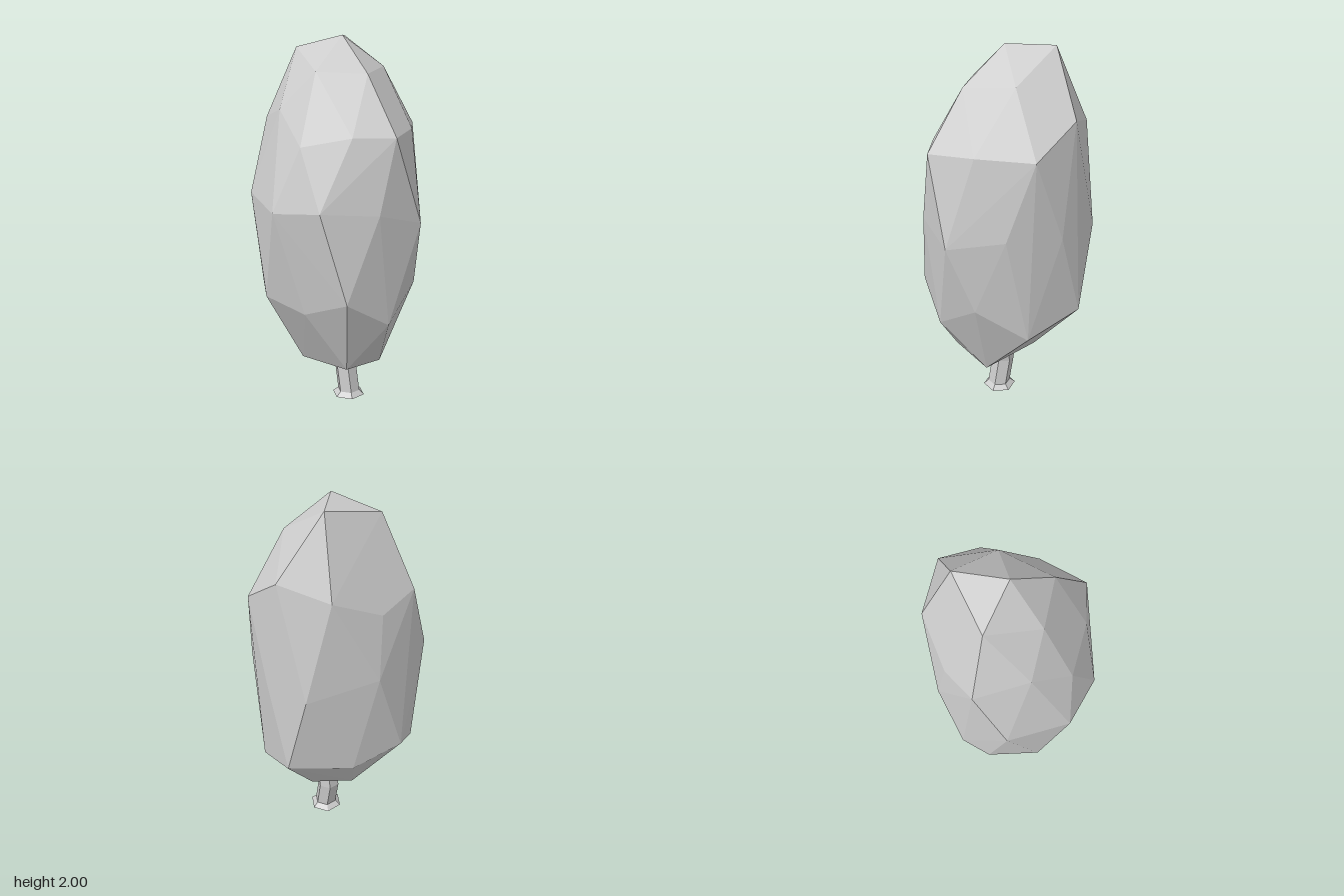
import * as THREE from 'three';
import { ConvexGeometry } from 'three/addons/geometries/ConvexGeometry.js';

const material = new THREE.MeshStandardMaterial({ color: 0xcccccc, flatShading: true });

// Faceted crown: rings of corner points [x, y, z] wrapped in a convex skin
const crownRings = {
  tip: [[-0.01, 2, -0.025], [-0.19, 2, -0.205], [-0.24, 1.94, 0.095]],
  shoulder: [[0.215, 1.81, 0.01], [0.02, 1.82, 0.185], [0.08, 1.84, -0.24]],
  upper: [[-0.13, 1.69, -0.44], [-0.34, 1.62, -0.28], [-0.385, 1.57, 0.19], [-0.13, 1.63, 0.3],
    [0.085, 1.46, 0.345], [0.29, 1.51, 0.185], [0.425, 1.51, 0.015], [0.31, 1.53, -0.22],
    [0.11, 1.53, -0.445], [-0.4, 1.5, -0.02]],
  middle: [[0.445, 1.06, -0.155], [0.23, 1.12, -0.37], [-0.05, 1.1, -0.465], [-0.3, 1.1, -0.41],
    [-0.445, 1.17, -0.065], [-0.315, 1.18, 0.36], [0.005, 1.13, 0.465], [0.245, 1.15, 0.36],
    [0.41, 1.13, 0.11]],
  lower: [[0.335, 0.68, 0.26], [0.39, 0.53, 0.015], [0.33, 0.7, -0.24], [0.11, 0.53, -0.405],
    [-0.19, 0.64, -0.455], [-0.38, 0.62, -0.17], [-0.445, 0.69, 0.105], [-0.37, 0.64, 0.25],
    [-0.14, 0.645, 0.405], [0.1, 0.59, 0.34]],
  base: [[0.205, 0.255, 0.14], [-0.1, 0.25, 0.19], [0.185, 0.225, -0.13], [-0.23, 0.36, -0.05],
    [-0.08, 0.34, -0.22], [-0.02, 0.2, 0.03], [0.07, 0.2, -0.04]],
};

function createCrown() {
  const points = Object.values(crownRings).flat().map((p) => new THREE.Vector3(...p));
  const crown = new THREE.Mesh(new ConvexGeometry(points), material);
  crown.name = 'crown';
  return crown;
}

// Bent six-sided trunk with a flared foot; sections are [y, centre x, radius], top first
function createTrunk() {
  const sections = [[0.28, 0.015, 0.063], [0.18, 0.003, 0.063], [0.025, 0.032, 0.063], [0, 0.03, 0.092]];
  const rows = sections.length - 1;
  const geometry = new THREE.CylinderGeometry(1, 1, rows, 6, rows);
  const pos = geometry.attributes.position;
  for (let i = 0; i < pos.count; i++) {
    const [y, cx, r] = sections[Math.round(rows / 2 - pos.getY(i))];
    pos.setXYZ(i, cx + pos.getX(i) * r, y, -0.038 + pos.getZ(i) * r);
  }
  geometry.computeVertexNormals();
  const trunk = new THREE.Mesh(geometry, material);
  trunk.name = 'trunk';
  return trunk;
}

export function createModel() {
  const tree = new THREE.Group();
  tree.name = 'tree';
  tree.add(createCrown(), createTrunk());
  return tree;
}
